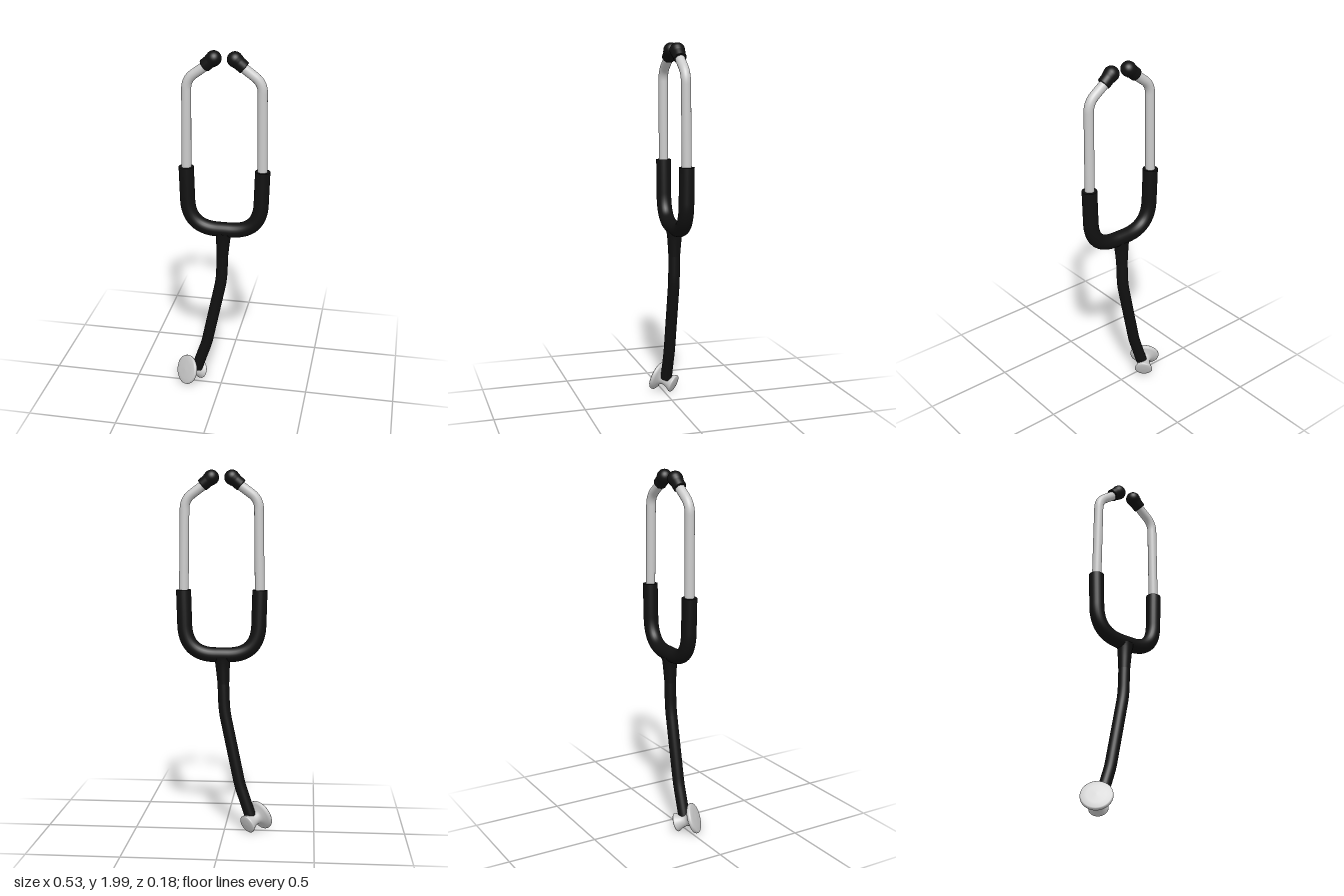
import * as THREE from 'three';

const MID = 0.0145; // x of the headset's mirror plane
const Z = -0.012; // depth of the tubing plane
const V = (x, y, z = Z) => new THREE.Vector3(x, y, z);
const UP = new THREE.Vector3(0, 1, 0);

// Polyline whose inner corners are replaced by curves; bends[i] is the cut length
function bentPath(points, bends) {
  const path = new THREE.CurvePath();
  let from = points[0];
  for (let i = 1; i < points.length - 1; i++) {
    const p = points[i];
    const toward = (q) => p.clone().add(q.clone().sub(p).setLength(bends[i - 1]));
    const a = toward(points[i - 1]);
    const b = toward(points[i + 1]);
    path.add(new THREE.LineCurve3(from, a));
    path.add(new THREE.QuadraticBezierCurve3(a, p, b));
    from = b;
  }
  path.add(new THREE.LineCurve3(from, points[points.length - 1]));
  return path;
}

// Round tube with flat closed ends
function cappedTube(name, path, radius, material, segments = 64) {
  const group = new THREE.Group();
  group.name = name;
  const tube = new THREE.Mesh(new THREE.TubeGeometry(path, segments, radius, 24), material);
  tube.name = name + 'Wall';
  group.add(tube);
  for (const end of [0, 1]) {
    const cap = new THREE.Mesh(new THREE.CircleGeometry(radius, 24), material);
    const outward = path.getTangentAt(end).multiplyScalar(end ? 1 : -1);
    cap.quaternion.setFromUnitVectors(new THREE.Vector3(0, 0, 1), outward);
    cap.position.copy(path.getPointAt(end));
    cap.name = name + 'End';
    group.add(cap);
  }
  return group;
}

// Lathe whose profile runs along a line from one point toward another
function latheAlong(name, profile, from, to, material) {
  const points = profile.map(([r, h]) => new THREE.Vector2(r, h));
  const mesh = new THREE.Mesh(new THREE.LatheGeometry(points, 40), material);
  mesh.name = name;
  mesh.position.copy(from);
  mesh.quaternion.setFromUnitVectors(UP, to.clone().sub(from).normalize());
  return mesh;
}

export function createModel() {
  const model = new THREE.Group();
  model.name = 'stethoscope';
  const metal = new THREE.MeshStandardMaterial({ color: 0xcccccc });
  const rubber = new THREE.MeshStandardMaterial({ color: 0x111111 });

  // U-shaped rubber yoke
  model.add(cappedTube('yoke', bentPath([
    V(MID - 0.208, 1.355), V(MID - 0.198, 1.0), V(MID + 0.198, 1.0), V(MID + 0.208, 1.355),
  ], [0.165, 0.165]), 0.041, rubber, 96));

  // Metal ear tubes and rubber ear tips, one per side
  for (const side of [-1, 1]) {
    const label = side < 0 ? 'right' : 'left';
    const at = (dx, y, z) => V(MID + side * dx, y, z);
    model.add(cappedTube(label + 'EarTube', bentPath([
      at(0.207, 1.3), at(0.2, 1.84, -0.008), at(0.085, 1.925, -0.008),
    ], [0.05]), 0.026, metal));
    const tipProfile = [[0, 0], [0.032, 0], [0.035, 0.004], [0.035, 0.036], [0.038, 0.045]];
    for (let i = 0; i <= 10; i++) {
      const a = -0.35 + (i / 10) * (Math.PI / 2 + 0.35);
      tipProfile.push([Math.max(0, 0.041 * Math.cos(a)), 0.066 + 0.041 * Math.sin(a)]);
    }
    model.add(latheAlong(label + 'EarTip', tipProfile,
      at(0.106, 1.914, -0.008), at(0.053, 1.958, -0.008), rubber));
  }

  // Hanging tube with a flared collar below the yoke
  model.add(cappedTube('stemTube', bentPath([
    V(0.011, 1.0), V(0, 0.69), V(-0.087, 0.27), V(-0.147, 0.092),
  ], [0.05, 0.03]), 0.032, rubber, 80));
  model.add(latheAlong('stemCollar', [[0.032, 0], [0.036, 0.06], [0.041, 0.12], [0.048, 0.15]],
    V(0.005, 0.84), V(0.011, 1.0), rubber));

  // Chest piece: bell, waist and diaphragm disc on one slanted axis
  const bell = V(-0.128, 0.055, -0.054);
  const disc = V(-0.206, 0.095, 0.028);
  model.add(latheAlong('chestPiece', [
    [0, -0.004], [0.03, -0.003], [0.048, 0], [0.052, 0.004], [0.051, 0.01],
    [0.043, 0.024], [0.036, 0.042], [0.033, 0.06], [0.036, 0.074], [0.05, 0.086],
    [0.074, 0.095], [0.083, 0.101], [0.085, 0.108], [0.084, 0.116], [0.078, 0.121],
    [0.05, 0.124], [0, 0.126],
  ], bell, disc, metal));

  return model;
}
